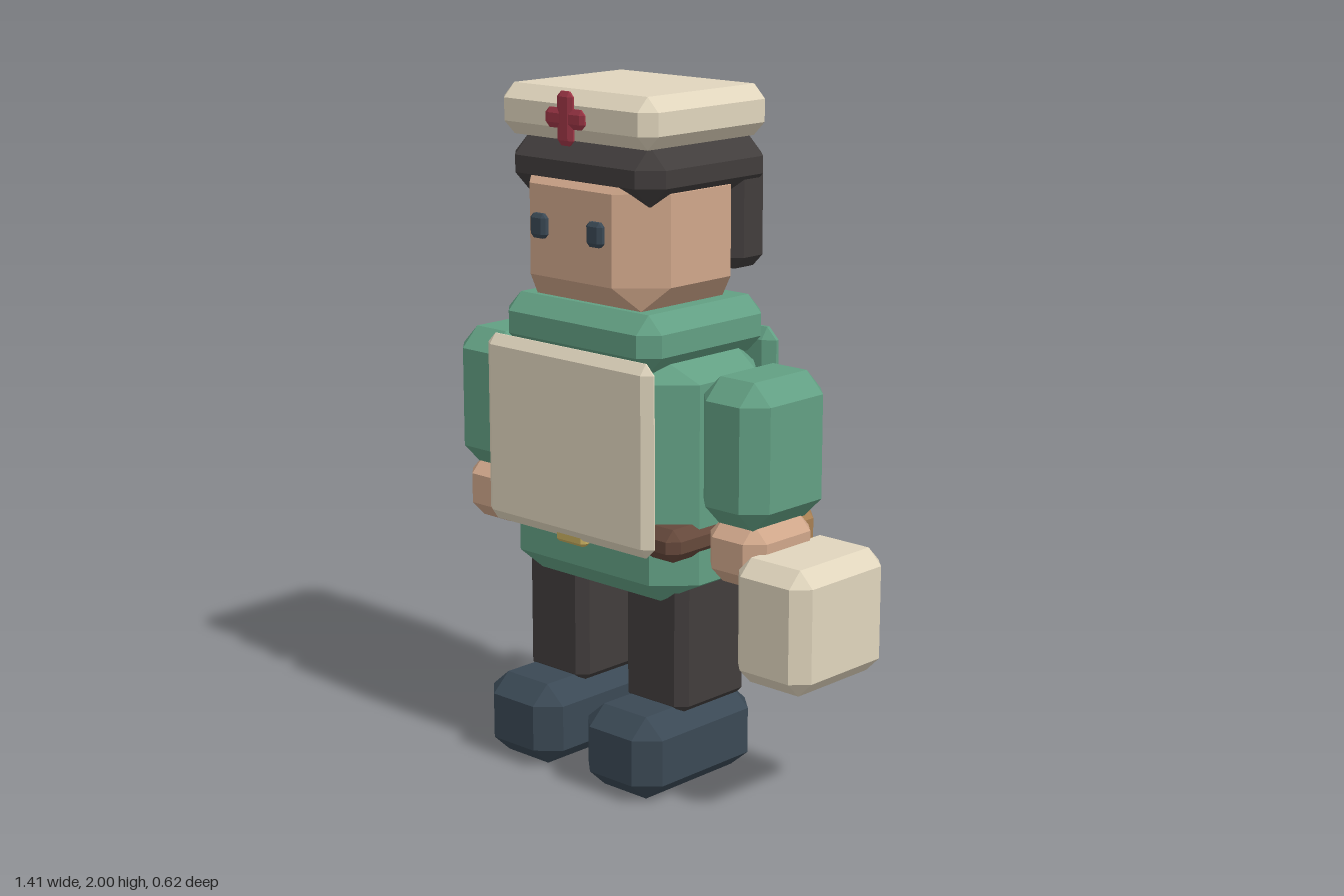
import * as THREE from 'three';
import { ConvexGeometry } from 'three/addons/geometries/ConvexGeometry.js';

const mat = (color) => new THREE.MeshStandardMaterial({ color, flatShading: true });
const M = {
  skin: mat(0xcfa68a), green: mat(0x629f83), cream: mat(0xe0d5bd), dark: mat(0x413d3c),
  navy: mat(0x3a4854), belt: mat(0x65483b), leather: mat(0xa67e52), red: mat(0x9e3646), gold: mat(0xc9b060),
};

// Box with all edges chamfered: inset = how far the faces shrink per axis,
// corner = optional separate size for the upright edges.
function chamferBox(w, h, d, inset, corner) {
  const [ix, iy, iz] = Array.isArray(inset) ? inset : [inset, inset, inset];
  const cx = corner ?? ix, cz = corner ?? iz;
  const pts = [];
  for (const sx of [-1, 1]) for (const sy of [-1, 1]) for (const sz of [-1, 1]) {
    const x = w / 2, y = h / 2, z = d / 2;
    pts.push(
      new THREE.Vector3(sx * (x - ix), sy * y, sz * (z - iz)),
      new THREE.Vector3(sx * x, sy * (y - iy), sz * (z - cz)),
      new THREE.Vector3(sx * (x - cx), sy * (y - iy), sz * z),
    );
  }
  return new ConvexGeometry(pts);
}

export function createModel() {
  const model = new THREE.Group();
  model.name = 'medic';

  // Adds a chamfered block from its bounds on x, y and z
  const block = (name, material, [x0, x1], [y0, y1], [z0, z1], inset, corner) => {
    const mesh = new THREE.Mesh(chamferBox(x1 - x0, y1 - y0, z1 - z0, inset, corner), material);
    mesh.position.set((x0 + x1) / 2, (y0 + y1) / 2, (z0 + z1) / 2);
    mesh.name = name;
    model.add(mesh);
  };

  // Head, hair and cap
  block('head', M.skin, [-0.37, 0.18], [1.4, 1.8], [-0.22, 0.257], 0.07, 0.115);
  block('hairBand', M.dark, [-0.39, 0.197], [1.69, 1.86], [-0.28, 0.24], 0.06);
  block('backHair', M.dark, [-0.378, 0.185], [1.48, 1.8], [-0.27, -0.12], 0.035);
  block('cap', M.cream, [-0.398, 0.2], [1.855, 2.0], [-0.262, 0.253], 0.04);
  block('crossUpright', M.red, [-0.125, -0.065], [1.85, 2.0], [0.26, 0.28], [0.015, 0.015, 0.007]);
  block('crossBar', M.red, [-0.172, -0.02], [1.897, 1.953], [0.261, 0.279], [0.015, 0.015, 0.007]);

  // Torso and clothing
  block('collar', M.green, [-0.4, 0.205], [1.235, 1.4], [-0.26, 0.255], 0.05);
  block('torso', M.green, [-0.456, 0.265], [0.56, 1.27], [-0.225, 0.215], [0.12, 0.065, 0.07], 0.1);
  block('belt', M.belt, [-0.473, 0.28], [0.71, 0.805], [-0.235, 0.237], 0.03);
  block('apron', M.cream, [-0.426, 0.232], [0.725, 1.28], [0.24, 0.288], [0.03, 0.03, 0.022]);
  block('buckle', M.gold, [-0.155, -0.04], [0.705, 0.75], [0.235, 0.272], 0.01);
  block('backStrap', M.green, [0.045, 0.205], [0.89, 1.295], [-0.313, -0.253], [0.035, 0.035, 0.025]);

  // Limbs and eyes in mirrored pairs about the body's centre line
  const centre = -0.097;
  for (const [side, s] of [['left', 1], ['right', -1]]) {
    const span = (a, b) => (s > 0 ? [centre + a, centre + b] : [centre - b, centre - a]);
    block(side + 'Eye', M.navy, span(0.08, 0.14), [1.58, 1.65], [0.253, 0.28], [0.012, 0.012, 0.008]);
    block(side + 'Sleeve', M.green, span(0.368, 0.611), [0.82, 1.24], [-0.177, 0.164], 0.06);
    block(side + 'Hand', M.skin, span(0.385, 0.593), [0.65, 0.835], [-0.14, 0.14], 0.047);
    block(side + 'Leg', M.dark, span(0.079, 0.32), [0.22, 0.67], [-0.148, 0.14], 0.03);
    block(side + 'Boot', M.navy, span(0.052, 0.348), [0, 0.247], [-0.175, 0.31], [0.065, 0.055, 0.06]);
  }

  // Carried items
  block('handCase', M.cream, [0.437, 0.702], [0.4, 0.76], [-0.198, 0.187], 0.045);
  block('hipPouch', M.leather, [0.18, 0.403], [0.556, 0.83], [-0.268, -0.06], 0.05);

  return model;
}
